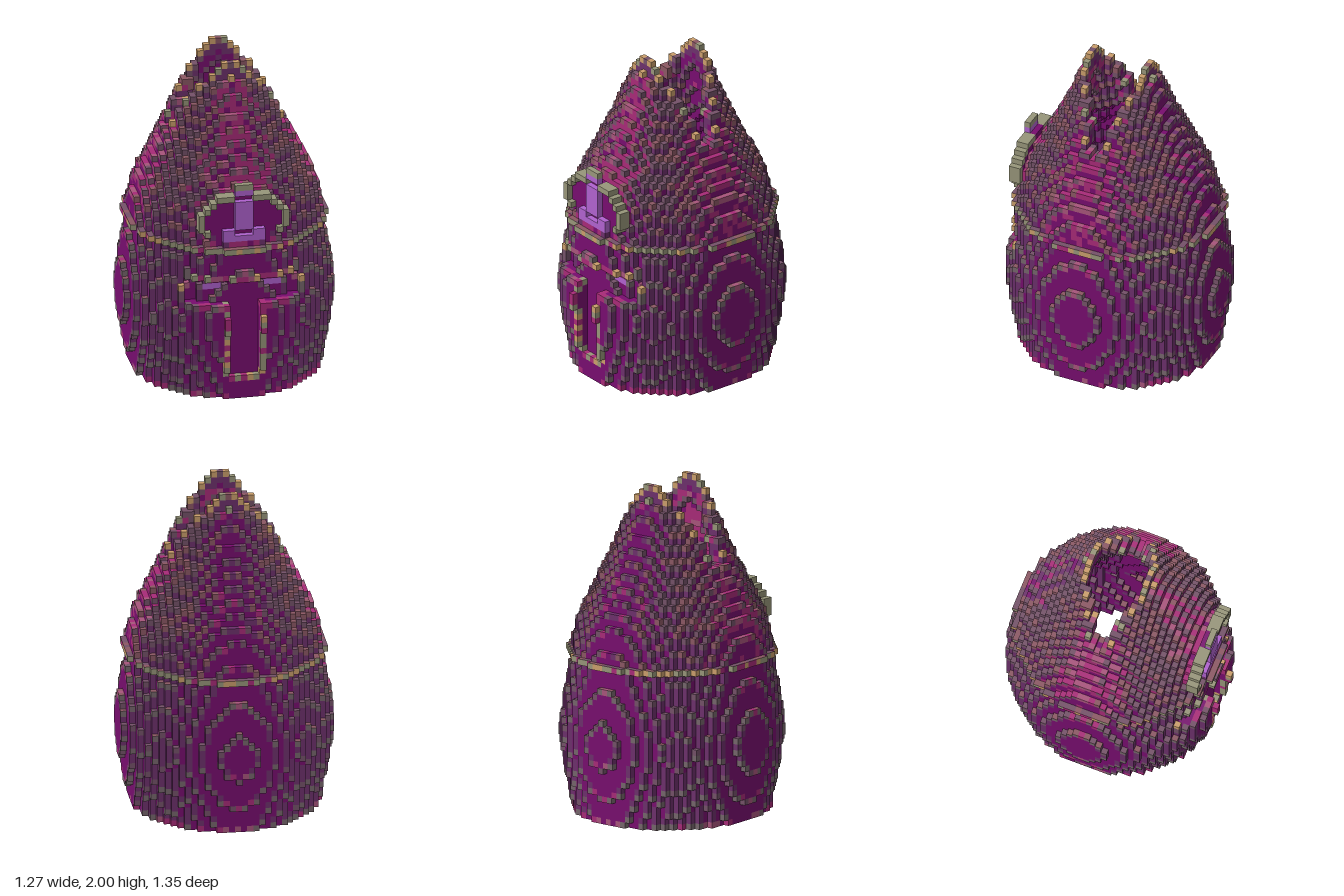
import * as THREE from 'three';

const S = 2 / 55; // edge of one cube
const COLORS = {
  purple: 0x780d6f, plum: 0x6d306c, magenta: 0xa82b78, pink: 0xa8557c, mauve: 0x755269,
  brown: 0x8c5864, grey: 0x76666c, olive: 0x98967a, tan: 0xcb9f6c, violet: 0xb062cf,
};

// Profiles as [height, value] pairs
const OUTER = [[0, 0.566], [0.118, 0.583], [0.3, 0.6185], [0.49, 0.64], [0.68, 0.6185], [0.86, 0.583],
  [0.94, 0.574], [1.0, 0.58], [1.2, 0.528], [1.4, 0.428], [1.6, 0.333], [1.8, 0.253], [2, 0.18]];
const WALL = [[0, 0.12], [1, 0.115], [1.5, 0.11], [1.8, 0.062], [2, 0.03]];
const NOTCH = [[1.49, 0], [1.5, 0.02], [1.54, 0.04], [1.62, 0.05], [1.67, 0.075], [1.74, 0.09],
  [1.78, 0.11], [1.84, 0.12], [1.86, 0.147], [2, 0.165]];

function sample(profile, y) {
  if (y <= profile[0][0]) return profile[0][1];
  for (let i = 1; i < profile.length; i++) {
    const [y0, a] = profile[i - 1], [y1, b] = profile[i];
    if (y <= y1) return a + (b - a) * (y - y0) / (y1 - y0);
  }
  return profile[profile.length - 1][1];
}

// Repeatable 0..1 value for mottled colours
function hash(i, j, k) {
  const h = Math.sin(i * 12.99 + j * 78.23 + k * 37.72) * 43758.55;
  return h - Math.floor(h);
}

// T-shaped visor: a wide slot over a tall stem
const inStem = (ai, j, k) => k > 0 && ai <= 2 && j >= 4 && j <= 20;
const inSlot = (ai, j, k) => k > 0 && ai > 2 && ai <= 9 && j >= 17 && j <= 20;
// Raised edge around the stem
const inFrame = (ai, j, k) => k > 14 && ((ai === 3 && j >= 3 && j <= 16) || (ai <= 2 && j === 3));

// Oval crest: back plate, rim one cube wide, and a pillar mark
const CREST_HALF_WIDTH = [4, 6, 7, 7, 7, 6, 5, 4]; // rows 28 to 35
function crestCell(ai, j, k) {
  if (k < 15 || k > 16) return null;
  if (j >= 36 && j <= 37 && ai <= 1) return k === 16 ? (j === 37 ? 'olive' : 'violet') : null;
  const half = CREST_HALF_WIDTH[j - 28];
  if (half === undefined || ai > half) return null;
  const pillar = ai <= 1 && j >= 30 && j <= 34;
  const foot = (j === 28 && ai <= 3) || (j === 29 && (ai === 2 || ai === 3));
  if (k === 16 && (pillar || foot)) return 'violet';
  const above = CREST_HALF_WIDTH[j - 27] ?? 1;
  if (j >= 29 && (ai === half || ai > above)) return 'olive';
  return k === 15 ? 'purple' : null;
}

// Which part fills a cell, or null when it is empty
function partAt(i, j, k) {
  const x = i * S, y = (j + 0.5) * S, z = k * S, ai = Math.abs(i);
  const crest = crestCell(ai, j, k);
  if (crest) return { part: 'crest', color: crest };

  const band = j === 26;
  const radius = sample(OUTER, y);
  const r = band ? 0.602 : radius;
  const stem = inStem(ai, j, k), slot = inSlot(ai, j, k);
  const rz = r * (y < 0.99 ? 1.05 : 1.03) - (slot ? 2.3 * S : 0);
  if (stem && k > 15) return null;
  if (Math.hypot(x / r, z / rz) > 1) return null;
  const inner = radius - sample(WALL, y), dist = Math.hypot(x, z);
  if (dist < inner) return null;
  if (y > 1.49 && Math.abs(z) < sample(NOTCH, y)) return null;

  const lining = y < 1.45 && dist < inner + 1.5 * S;
  if (band) return { part: 'brimBand', lining };
  if (stem) return { part: 'visor', color: 'purple' };
  if (slot) {
    const eye = j === 19 && ai >= 4 && ai <= 6 && k >= 14;
    return { part: 'visor', color: eye ? 'violet' : undefined, lining };
  }
  if (inFrame(ai, j, k)) return { part: 'visorFrame', lining };
  return { part: j > 26 ? 'splitCrown' : 'barrelBody', lining };
}

const DIRS = [[1, 0, 0], [-1, 0, 0], [0, 1, 0], [0, -1, 0], [0, 0, 1], [0, 0, -1]];

// Colour follows the part, the face and how many sides of the cube are open
function pickColor({ part, color, lining, i, j, k }, open, d) {
  if (color) return color;
  const h = hash(i, j, k), up = d[1] > 0, ai = Math.abs(i), ak = Math.abs(k);
  if (j === 0 && d[1] < 0) return 'purple';
  if (lining && i * d[0] + k * d[2] < 0) return open.length === 2 ? 'plum' : 'purple';
  const n = open.length - (j === 0 && h > 0.35 ? 1 : 0);
  if (part === 'brimBand' && n > 1) {
    if (up) return h < 0.4 ? 'brown' : 'mauve';
    if (n >= 4) return h < 0.65 ? 'olive' : 'tan';
    return h < 0.3 ? 'tan' : h < 0.6 ? 'olive' : 'magenta';
  }
  if (part === 'visorFrame' && n > 1) return h < 0.4 ? 'olive' : h < 0.65 ? 'tan' : 'magenta';
  const crown = part === 'splitCrown';
  if (n <= 1) return crown && k >= -ai && h < (ai <= 2 ? 0.8 : 0.3) ? 'magenta' : 'purple';
  if (n === 2) {
    if (!open.some((o) => o[1] !== 0)) return 'plum';
    if (crown && k < -ai) return h < 0.55 ? 'plum' : h < 0.75 ? 'purple' : 'magenta';
    return h < (ai > ak ? 0.45 : 0.25) ? 'pink' : 'magenta';
  }
  if (n === 3 || (part === 'barrelBody' && k < 8)) {
    if (crown && up && ak <= 5 && ai > 8 && h > 0.5) return h > 0.75 ? 'magenta' : 'pink';
    if (!crown && !up) return h < 0.6 ? 'grey' : 'mauve';
    return h < 0.35 ? 'brown' : 'mauve';
  }
  return h < 0.7 ? 'tan' : 'olive';
}

// One square of a cube, counter-clockwise seen from outside
function addFace(out, c, d) {
  const n = new THREE.Vector3(...d);
  const u = new THREE.Vector3(d[1], d[2], d[0]);
  const v = new THREE.Vector3().crossVectors(n, u);
  const corner = (a, b) => c.clone().addScaledVector(n, S / 2).addScaledVector(u, a * S / 2).addScaledVector(v, b * S / 2);
  const q = [corner(-1, -1), corner(1, -1), corner(1, 1), corner(-1, 1)];
  for (const t of [0, 1, 2, 0, 2, 3]) {
    out.pos.push(q[t].x, q[t].y, q[t].z);
    out.nor.push(...d);
  }
}

export function createModel() {
  const model = new THREE.Group();
  model.name = 'splitCrownHelmet';
  const materials = {};
  for (const [name, color] of Object.entries(COLORS)) {
    materials[name] = new THREE.MeshStandardMaterial({ color });
    materials[name].name = name;
  }

  // Fill the grid once
  const cells = new Map();
  const key = (i, j, k) => ((i + 40) * 100 + j + 5) * 100 + k + 40;
  for (let i = -18; i <= 18; i++)
    for (let j = 0; j < 55; j++)
      for (let k = -19; k <= 19; k++) {
        const cell = partAt(i, j, k);
        if (cell) cells.set(key(i, j, k), { ...cell, i, j, k });
      }

  // Collect the open faces by part and colour
  const parts = {};
  for (const cell of cells.values()) {
    const { i, j, k } = cell;
    const open = DIRS.filter((d) => !cells.has(key(i + d[0], j + d[1], k + d[2])));
    const part = (parts[cell.part] ??= {});
    const center = new THREE.Vector3(i * S, (j + 0.5) * S, k * S);
    for (const d of open) {
      const out = (part[pickColor(cell, open, d)] ??= { pos: [], nor: [] });
      addFace(out, center, d);
    }
  }

  // One group per part, one mesh per colour
  for (const [partName, byColor] of Object.entries(parts)) {
    const group = new THREE.Group();
    group.name = partName;
    for (const [color, { pos, nor }] of Object.entries(byColor)) {
      const geometry = new THREE.BufferGeometry();
      geometry.setAttribute('position', new THREE.Float32BufferAttribute(pos, 3));
      geometry.setAttribute('normal', new THREE.Float32BufferAttribute(nor, 3));
      const mesh = new THREE.Mesh(geometry, materials[color]);
      mesh.name = partName + ' ' + color;
      group.add(mesh);
    }
    model.add(group);
  }
  return model;
}
